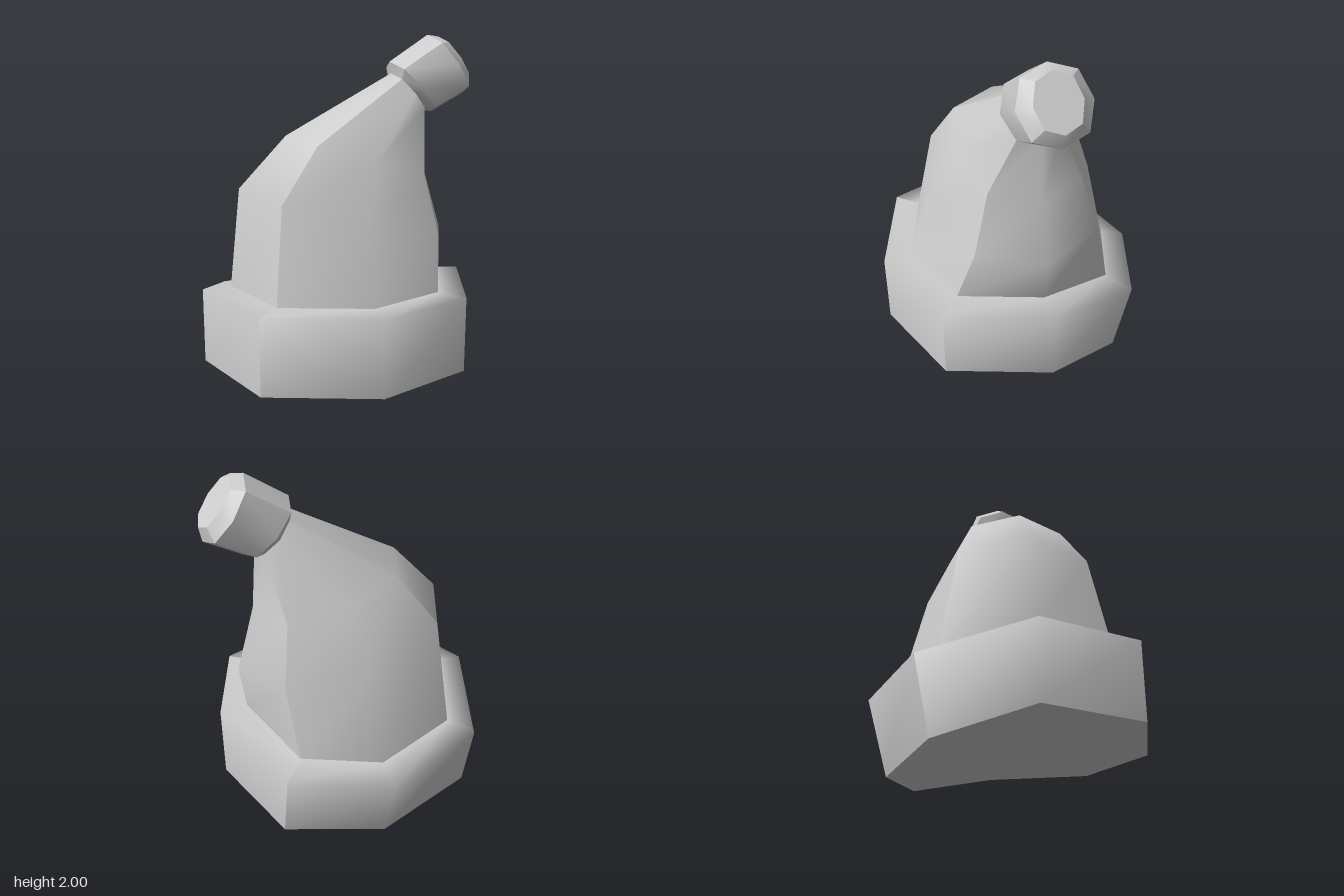
import * as THREE from 'three';
import { mergeGeometries } from 'three/addons/utils/BufferGeometryUtils.js';

const DIAG = 0.735;

// Eight-sided ring spanning from a left-hand point to a right-hand point (x, y), with depth rz
function ring([lx, ly], [rx, ry], rz, shift = 0) {
  const cx = (lx + rx) / 2, cy = (ly + ry) / 2;
  const c = [1, DIAG, 0, -DIAG, -1, -DIAG, 0, DIAG];
  return c.map((k, i) => new THREE.Vector3(
    cx + k * (rx - lx) / 2 + (i % 4 === 2 ? shift : 0),
    cy + k * (ry - ly) / 2,
    rz * c[(i + 6) % 8]));
}

// Tips the back half of a ring downward
function bend(points, slope = 0.26, squeeze = 1) {
  for (const p of points) if (p.z < -0.01) {
    p.z *= squeeze;
    p.y += p.z * slope;
  }
  return points;
}

function build(points, index) {
  const g = new THREE.BufferGeometry().setFromPoints(points);
  g.setIndex(index);
  g.computeVertexNormals();
  return g;
}

// Skin over rings, smooth within each quarter and creased along the diagonals
function loft(rings) {
  const quarters = [];
  for (let q = 0; q < 4; q++) {
    const points = [], index = [];
    for (const r of rings) for (let k = -1; k <= 1; k++) points.push(r[(q * 2 + k + 8) % 8]);
    for (let j = 0; j < rings.length - 1; j++) for (let k = 0; k < 2; k++) {
      const a = j * 3 + k, b = a + 3;
      index.push(a, b, a + 1, a + 1, b, b + 1);
    }
    quarters.push(build(points, index));
  }
  return mergeGeometries(quarters);
}

// Closes a ring with a fan, facing down or up
function cap(r, center, up) {
  const index = [];
  for (let i = 0; i < 8; i++) {
    const n = (i + 1) % 8;
    index.push(8, up ? n : i, up ? i : n);
  }
  return build([...r, center], index);
}

export function createModel() {
  const group = new THREE.Group();
  group.name = 'knitHat';
  const wool = new THREE.MeshStandardMaterial({ color: 0xcccccc });
  wool.name = 'grey wool';
  const add = (name, parts) => {
    const mesh = new THREE.Mesh(mergeGeometries(parts), wool);
    mesh.name = name;
    group.add(mesh);
  };

  // Folded brim with a dipped back
  const hem = bend(ring([-0.79, 0.175], [0.77, 0.175], 0.77, 0.03), 0.27, 0.845);
  const rim = bend(ring([-0.79, 0.6], [0.77, 0.6], 0.77, 0.03), 0.25);
  const base = bend(ring([-0.63, 0.608], [0.61, 0.608], 0.612, 0.03), 0.23);
  add('brim', [loft([hem, rim, base])]);
  add('brimUnderside', [cap(hem, new THREE.Vector3(0, 0.175, 0), false)]);

  // Crown leaning over to one side
  const neck = ring([0.32, 1.785], [0.51, 1.57], 0.15);
  add('crown', [loft([
    base,
    ring([-0.57, 1.165], [0.645, 0.865], 0.48),
    ring([-0.3, 1.45], [0.54, 1.21], 0.355),
    neck,
  ])]);

  // Faceted bobble at the tip
  const bobble = [
    neck,
    ring([0.31, 1.85], [0.575, 1.565], 0.195),
    ring([0.54, 2.0], [0.775, 1.67], 0.195),
    ring([0.61, 1.99], [0.79, 1.75], 0.125),
  ];
  const parts = [cap(neck, new THREE.Vector3(0.415, 1.678, 0), false)];
  for (let i = 0; i < 3; i++) parts.push(loft([bobble[i], bobble[i + 1]]));
  parts.push(cap(bobble[3], new THREE.Vector3(0.7, 1.87, 0), true));
  add('bobble', parts);

  return group;
}
